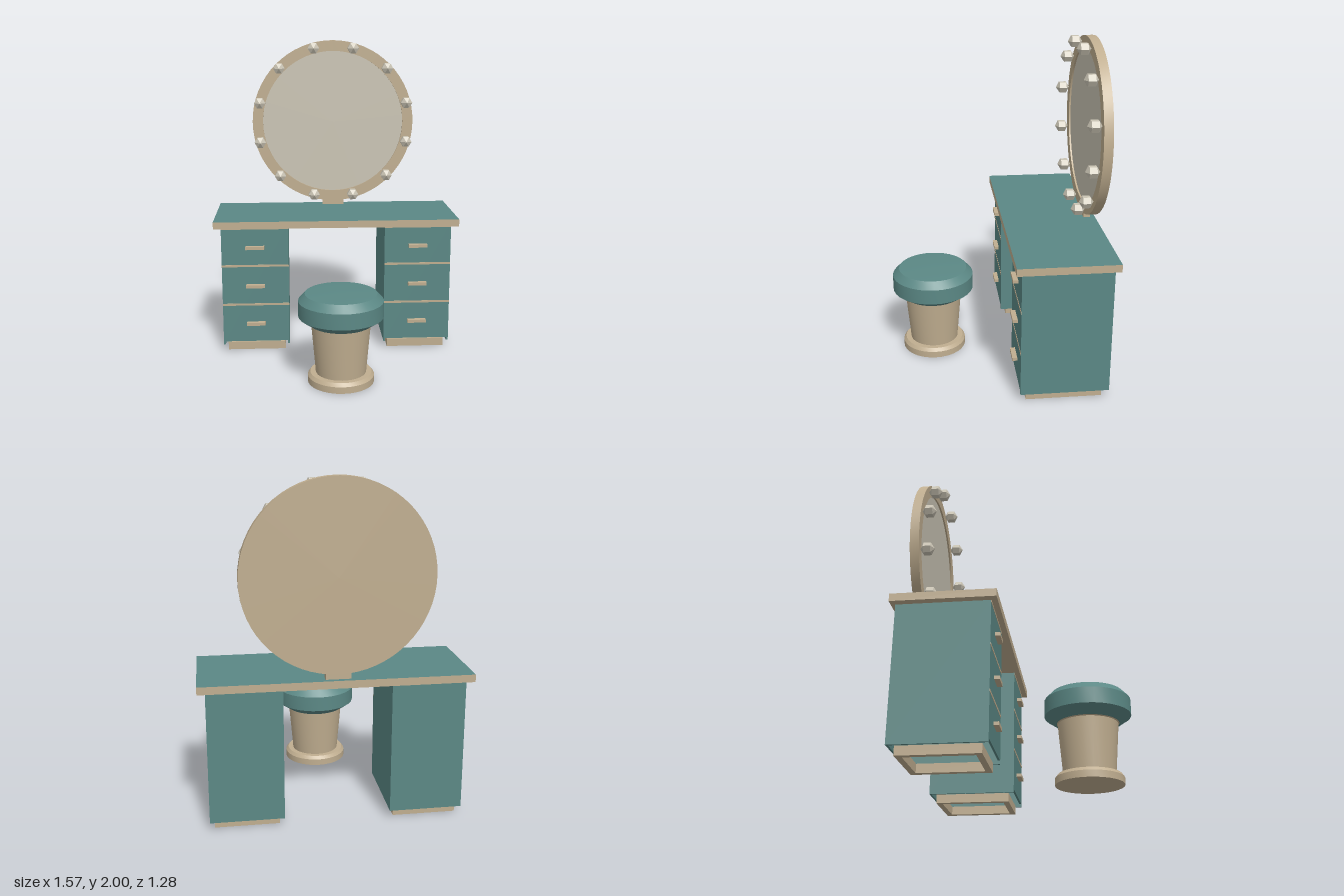
import * as THREE from 'three';
import { toCreasedNormals } from 'three/addons/utils/BufferGeometryUtils.js';

export function createModel() {
  const mat = (name, color) => {
    const m = new THREE.MeshStandardMaterial({ color });
    m.name = name;
    return m;
  };
  const teal = mat('teal', 0x5b8885);
  const wood = mat('paleWood', 0xc0ae90);
  const silver = mat('mirrorSilver', 0xcac4b4);

  const model = new THREE.Group();
  model.name = 'vanityTable';
  const add = (parent, name, geometry, material, x = 0, y = 0, z = 0) => {
    const mesh = new THREE.Mesh(geometry, material);
    mesh.name = name;
    mesh.position.set(x, y, z);
    parent.add(mesh);
    return mesh;
  };
  // box given by its limits on each axis
  const box = (parent, name, material, [x0, x1], [y0, y1], [z0, z1]) =>
    add(parent, name, new THREE.BoxGeometry(x1 - x0, y1 - y0, z1 - z0), material,
      (x0 + x1) / 2, (y0 + y1) / 2, (z0 + z1) / 2);
  const lathe = (points, segments) => toCreasedNormals(
    new THREE.LatheGeometry(points.map(p => new THREE.Vector2(...p)), segments), 0.35);

  // table top: wooden slab with a teal upper face
  box(model, 'tableTop', [wood, wood, teal, wood, wood, wood],
    [-0.785, 0.785], [0.835, 0.88], [-0.64, -0.055]);

  // two hollow drawer pedestals
  for (const side of [-1, 1]) {
    const pedestal = new THREE.Group();
    pedestal.name = side > 0 ? 'leftPedestal' : 'rightPedestal';
    pedestal.position.x = side * 0.525;
    model.add(pedestal);

    const w = 0.215, t = 0.012, back = -0.615, front = -0.09;
    box(pedestal, 'sidePanel', teal, [-w, -w + t], [0.05, 0.835], [back, front]);
    box(pedestal, 'sidePanel', teal, [w - t, w], [0.05, 0.835], [back, front]);
    box(pedestal, 'backPanel', teal, [-w + t, w - t], [0.05, 0.835], [back, back + t]);
    box(pedestal, 'drawerFronts', teal, [-w + t, w - t], [0.07, 0.835], [front - t, front]);

    // wooden rails between drawers, and handles
    for (const y of [0.322, 0.582, 0.83])
      box(pedestal, 'drawerRail', wood, [-w, w], [y - 0.007, Math.min(y + 0.007, 0.835)], [front, front + 0.002]);
    for (const y of [0.195, 0.45, 0.705])
      box(pedestal, 'handle', wood, [-0.06, 0.06], [y - 0.01, y + 0.01], [front, -0.06]);

    // open plinth frame
    const px = 0.188, z0 = -0.575, z1 = -0.125, r = 0.035;
    box(pedestal, 'plinthSide', wood, [-px, -px + r], [0, 0.052], [z0, z1]);
    box(pedestal, 'plinthSide', wood, [px - r, px], [0, 0.052], [z0, z1]);
    box(pedestal, 'plinthBack', wood, [-px + r, px - r], [0, 0.052], [z0, z0 + r]);
    box(pedestal, 'plinthFront', wood, [-px + r, px - r], [0, 0.052], [z1 - r, z1]);
  }

  // round mirror on a short neck
  const mirror = new THREE.Group();
  mirror.name = 'mirror';
  mirror.position.y = 1.455;
  model.add(mirror);
  add(mirror, 'mirrorFrame', lathe([
    [0, -0.615], [0.545, -0.615], [0.545, -0.56], [0.475, -0.56], [0.475, -0.572],
  ], 64), wood).rotation.x = Math.PI / 2;
  add(mirror, 'mirrorGlass', new THREE.CircleGeometry(0.476, 64), silver, 0, 0, -0.571);
  box(model, 'mirrorNeck', wood, [-0.072, 0.072], [0.88, 0.93], [-0.61, -0.567]);

  // twelve faceted bulbs around the frame, pointing forwards
  const bulb = new THREE.SphereGeometry(0.044, 6, 3).toNonIndexed();
  bulb.rotateX(Math.PI / 2);
  bulb.computeVertexNormals();
  for (let i = 0; i < 12; i++) {
    const a = (i + 0.5) * Math.PI / 6;
    add(mirror, 'bulb', bulb, silver, 0.511 * Math.cos(a), 0.511 * Math.sin(a), -0.515);
  }

  // round stool
  const stool = new THREE.Group();
  stool.name = 'stool';
  stool.position.z = 0.385;
  model.add(stool);
  add(stool, 'stoolBase', lathe([
    [0, 0], [0.2, 0], [0.2, 0.04], [0.185, 0.06], [0.152, 0.06],
    [0.178, 0.36], [0.19, 0.37], [0, 0.37],
  ], 32), wood);
  add(stool, 'stoolCushion', lathe([
    [0, 0.365], [0.19, 0.365], [0.255, 0.41], [0.255, 0.505],
    [0.215, 0.548], [0, 0.56],
  ], 32), teal);

  return model;
}
